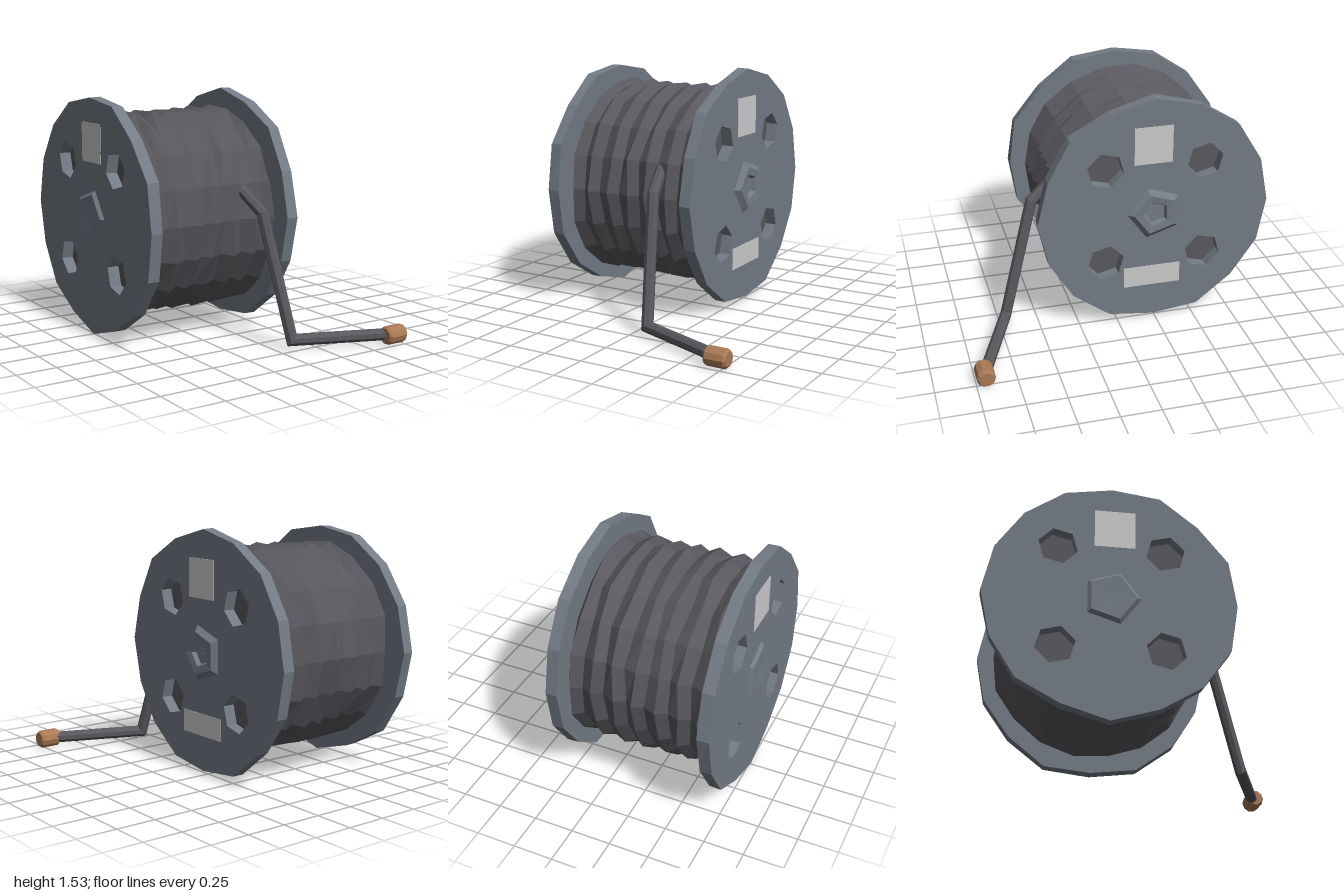
import * as THREE from 'three';

const paint = (color) => new THREE.MeshStandardMaterial({ color, flatShading: true });
const flangeMat = paint(0x737b85);
const cableMat = paint(0x58585e);
const plugMat = paint(0xaa7a55);
const labelMat = new THREE.MeshStandardMaterial({ color: 0xcccccc });

function add(parent, name, geometry, material) {
  const mesh = new THREE.Mesh(geometry, material);
  mesh.name = name;
  parent.add(mesh);
  return mesh;
}

// Regular outline with an optional uneven radius
function outline(target, cx, cy, radius, sides, start = 0, wobble = 0, seed = 0) {
  const points = [];
  for (let i = 0; i < sides; i++) {
    const a = start + (i / sides) * Math.PI * 2;
    const r = radius + wobble * Math.sin(i * 2.7 + seed);
    points.push(new THREE.Vector2(cx + r * Math.cos(a), cy + r * Math.sin(a)));
  }
  return target.setFromPoints(points);
}

// Rough disc with four hexagonal holes, thickness along x
function flangeGeometry(seed) {
  const shape = outline(new THREE.Shape(), 0, 0, 0.75, 16, 0, 0.01, seed);
  for (const sx of [-1, 1]) for (const sy of [-1, 1]) {
    shape.holes.push(outline(new THREE.Path(), sx * 0.32, sy * 0.32, 0.12, 6, 0.25 * sx * sy));
  }
  const geo = new THREE.ExtrudeGeometry(shape, { depth: 0.075, bevelEnabled: false });
  // Slightly uneven rim
  const p = geo.attributes.position;
  for (let i = 0; i < p.count; i++) {
    const x = p.getX(i), y = p.getY(i), z = p.getZ(i);
    if (Math.hypot(x, y) < 0.65) continue;
    const k = 1 + 0.01 * Math.sin(23 * x + 31 * y + 90 * z + seed);
    p.setXY(i, x * k, y * k);
  }
  return geo.rotateY(Math.PI / 2);
}

// Turned profile of [radius, x] pairs around the x axis
function turned(profile, sides) {
  const points = profile.map(([r, x]) => new THREE.Vector2(r, x));
  return new THREE.LatheGeometry(points, sides).rotateZ(-Math.PI / 2);
}

// Ridged coil of cable, roughened by a smooth function of position
function coilGeometry() {
  const profile = [[0, -0.67], [0.6, -0.67]];
  for (let i = 0; i < 7; i++) {
    const x = -0.65 + i * 0.137;
    profile.push([0.65, x]);
    if (i < 6) profile.push([0.615, x + 0.068]);
  }
  profile.push([0.61, 0.19], [0, 0.19]);
  const geo = turned(profile, 18);
  const p = geo.attributes.position;
  for (let i = 0; i < p.count; i++) {
    const x = p.getX(i), y = p.getY(i), z = p.getZ(i);
    if (Math.hypot(y, z) < 0.3) continue;
    const k = 1 + 0.012 * Math.sin(37 * x + 53 * y + 71 * z);
    const inner = x > -0.66 && x < 0.18;
    const shift = inner ? 0.012 * Math.sin(41 * y + 29 * z + 17 * x) : 0;
    p.setXYZ(i, x + shift, y * k, z * k);
  }
  return geo;
}

// Straight prisms along a path, with mitred joints
function addLead(parent, points, radius) {
  const dirs = points.slice(1).map((q, i) => q.clone().sub(points[i]).normalize());
  const up = new THREE.Vector3(0, 1, 0);
  const v = new THREE.Vector3();
  dirs.forEach((dir, i) => {
    const a = points[i], b = points[i + 1], length = a.distanceTo(b);
    const geo = new THREE.CylinderGeometry(radius, radius, length, 8);
    geo.applyQuaternion(new THREE.Quaternion().setFromUnitVectors(up, dir));
    geo.translate((a.x + b.x) / 2, (a.y + b.y) / 2, (a.z + b.z) / 2);
    const p = geo.attributes.position;
    for (let j = 0; j < p.count; j++) {
      v.fromBufferAttribute(p, j);
      const atEnd = v.clone().sub(a).dot(dir) > length / 2;
      const joint = atEnd ? b : a;
      const n = dir.clone().add((atEnd ? dirs[i + 1] : dirs[i - 1]) ?? dir);
      v.addScaledVector(dir, -v.clone().sub(joint).dot(n) / dir.dot(n));
      p.setXYZ(j, v.x, v.y, v.z);
    }
    add(parent, 'cableLead', geo, cableMat);
  });
}

export function createModel() {
  const model = new THREE.Group();
  model.name = 'cableReel';

  const reel = new THREE.Group();
  reel.name = 'reel';
  reel.position.set(0, 0.77, -0.24);
  model.add(reel);

  // Flanges
  add(reel, 'rightFlange', flangeGeometry(1), flangeMat).position.x = -0.76;
  add(reel, 'leftFlange', flangeGeometry(4), flangeMat).position.x = 0.204;

  // Wound cable
  add(reel, 'cableCoil', coilGeometry(), cableMat);

  // Five-sided axle with a hollow hub on the left end
  add(reel, 'axle', turned([
    [0, -0.775], [0.15, -0.78], [0.175, -0.76], [0.18, 0.28],
    [0.14, 0.31], [0.085, 0.305], [0.055, 0.255], [0, 0.285],
  ], 5), flangeMat);

  // Labels: [x, y, z, height, width]
  const labels = [
    [0.28, 0.46, 0.017, 0.245, 0.245],
    [0.28, -0.45, 0.015, 0.14, 0.37],
    [-0.761, 0.46, 0.017, 0.245, 0.245],
  ];
  for (const [x, y, z, h, w] of labels) {
    add(reel, 'label', new THREE.BoxGeometry(0.004, h, w), labelMat).position.set(x, y, z);
  }

  // Loose cable end
  addLead(model, [
    new THREE.Vector3(-0.03, 0.97, 0.3),
    new THREE.Vector3(0.02, 0.82, 0.5),
    new THREE.Vector3(0.1, 0.062, 0.705),
    new THREE.Vector3(0.68, 0.062, 0.93),
  ], 0.037);

  // Plug with chamfered ends
  const plug = add(model, 'plug', turned([
    [0, -0.072], [0.046, -0.072], [0.058, -0.058],
    [0.058, 0.058], [0.046, 0.072], [0, 0.072],
  ], 10), plugMat);
  plug.position.set(0.707, 0.06, 0.942);

  return model;
}
